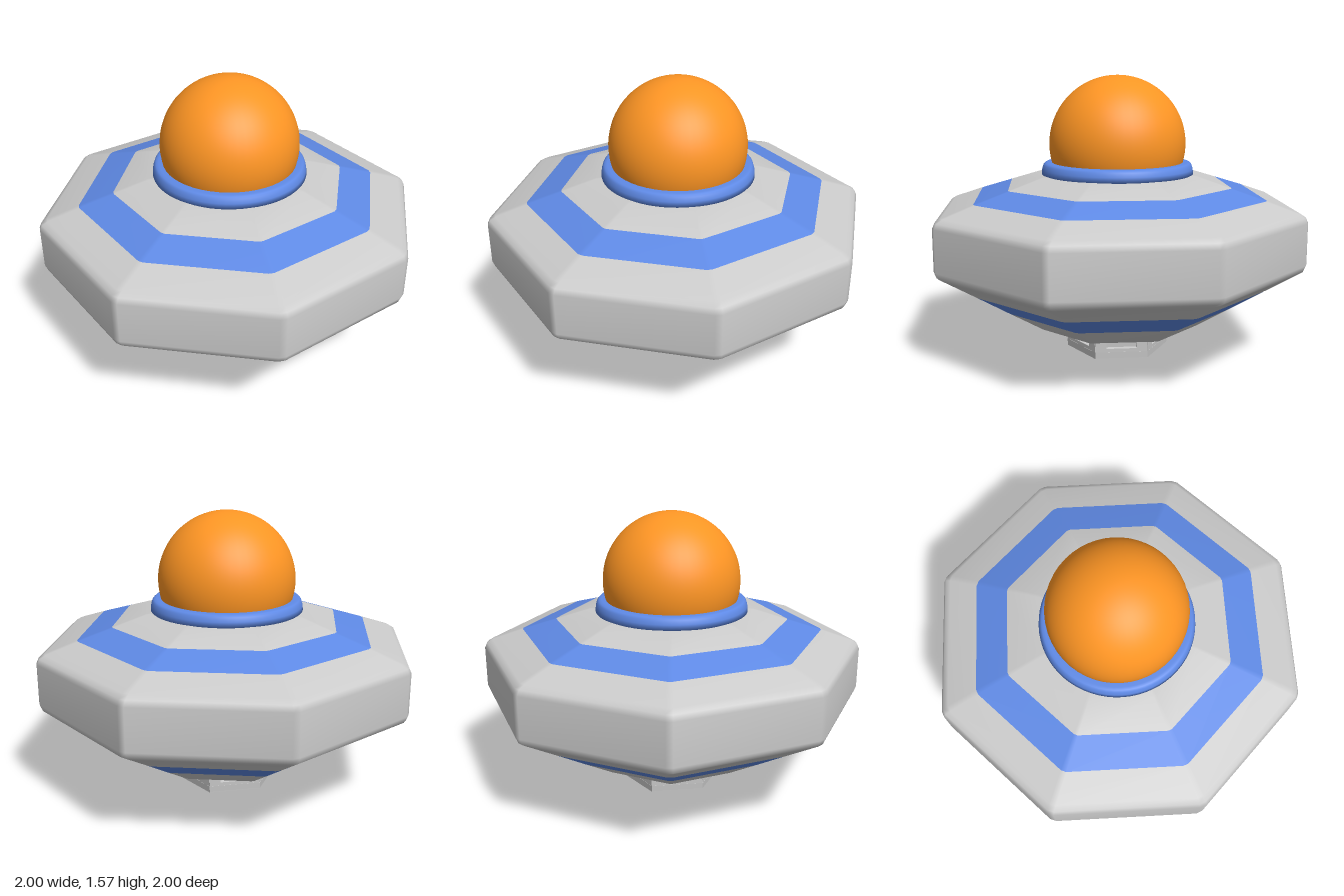
import * as THREE from 'three';

const GREY = 0xcccccc, BLUE = 0x5f8ae6, ORANGE = 0xff9624, DARK = 0x080808;

function addMesh(parent, name, geometry, color, options = {}) {
  const mesh = new THREE.Mesh(geometry, new THREE.MeshStandardMaterial({ color, ...options }));
  mesh.name = name;
  parent.add(mesh);
  return mesh;
}

// Octagonal rings with narrow corner chamfers; profile holds [apothem, y] from bottom to top.
const N = 16;
function octagonLoft(profile) {
  const pos = [], index = [];
  for (const [a, y] of profile) {
    const h = a * (Math.tan(Math.PI / 8) - 0.02);
    for (let k = 0; k < 8; k++) {
      const t = k * Math.PI / 4, s = Math.sin(t), c = Math.cos(t);
      for (const d of [-h, h]) pos.push(s * a + c * d, y, c * a - s * d);
    }
  }
  for (let j = 0; j < profile.length - 1; j++) {
    for (let i = 0; i < N; i++) {
      const a = j * N + i, b = j * N + (i + 1) % N;
      index.push(a, b, b + N, a, b + N, a + N);
    }
  }
  const geo = new THREE.BufferGeometry();
  geo.setAttribute('position', new THREE.Float32BufferAttribute(pos, 3));
  geo.setIndex(index);
  geo.computeVertexNormals();
  return geo;
}

export function createModel() {
  const model = new THREE.Group();
  model.name = 'flyingSaucer';

  // Hull: one smooth loft, split by rows into grey and blue bands
  const hull = new THREE.Group();
  hull.name = 'hull';
  hull.rotation.y = -0.01;
  model.add(hull);
  const loft = octagonLoft([
    [0.44, 0.16], [0.62, 0.28], [0.79, 0.395], [0.955, 0.505], [0.985, 0.525], [0.998, 0.56],
    [0.998, 0.79], [0.985, 0.82], [0.955, 0.84], [0.79, 0.9], [0.61, 0.96], [0.43, 1.02], [0.2, 1.03],
  ]);
  const bands = [
    ['lowerHull', 0, 1, GREY], ['lowerStripe', 1, 2, BLUE], ['rim', 2, 9, GREY],
    ['upperStripe', 9, 10, BLUE], ['upperHull', 10, 12, GREY],
  ];
  for (const [name, from, to, color] of bands) {
    const geo = loft.clone();
    geo.setIndex(Array.from(loft.index.array.slice(from * N * 6, to * N * 6)));
    addMesh(hull, name, geo, color);
  }

  // Dark recess under the hull, around the base
  addMesh(hull, 'undersideRecess', octagonLoft([[0.44, 0.16], [0.41, 0.3], [0.01, 0.3]]), DARK,
    { side: THREE.DoubleSide });

  // Collar around the dome
  const collar = [[0.36, 1.02], [0.43, 1.02], [0.427, 1.05], [0.42, 1.073], [0.41, 1.083], [0.395, 1.087], [0.36, 1.087]]
    .map(([r, y]) => new THREE.Vector2(r, y));
  addMesh(model, 'collar', new THREE.LatheGeometry(collar, 64), BLUE);

  // Dome
  const dome = addMesh(model, 'dome',
    new THREE.SphereGeometry(0.385, 48, 32, 0, Math.PI * 2, 0, Math.PI * 0.62), ORANGE);
  dome.position.y = 1.187;

  // Hexagonal base: inner core, bottom plate and six framed windows
  const base = new THREE.Group();
  base.name = 'base';
  model.add(base);
  const hexagon = (top, bottom, height) =>
    new THREE.CylinderGeometry(top, bottom, height, 6, 1, false, Math.PI / 2);
  addMesh(base, 'core', hexagon(0.29, 0.265, 0.27), GREY, { flatShading: true }).position.y = 0.16;
  addMesh(base, 'bottomPlate', hexagon(0.296, 0.292, 0.04), GREY, { flatShading: true }).position.y = 0.02;

  const frame = new THREE.Shape([[-0.146, 0], [0.146, 0], [0.164, 0.295], [-0.164, 0.295]]
    .map(p => new THREE.Vector2(...p)));
  frame.holes.push(new THREE.Path([[-0.085, 0.06], [-0.095, 0.22], [0.095, 0.22], [0.085, 0.06]]
    .map(p => new THREE.Vector2(...p))));
  const frameGeo = new THREE.ExtrudeGeometry(frame, { depth: 0.03, bevelEnabled: false });
  frameGeo.translate(0, 0, -0.03);
  frameGeo.rotateX(0.054);
  frameGeo.translate(0, 0, 0.253);
  for (let i = 0; i < 6; i++) {
    addMesh(base, 'windowFrame', frameGeo, GREY).rotation.y = i * Math.PI / 3;
  }
  return model;
}
